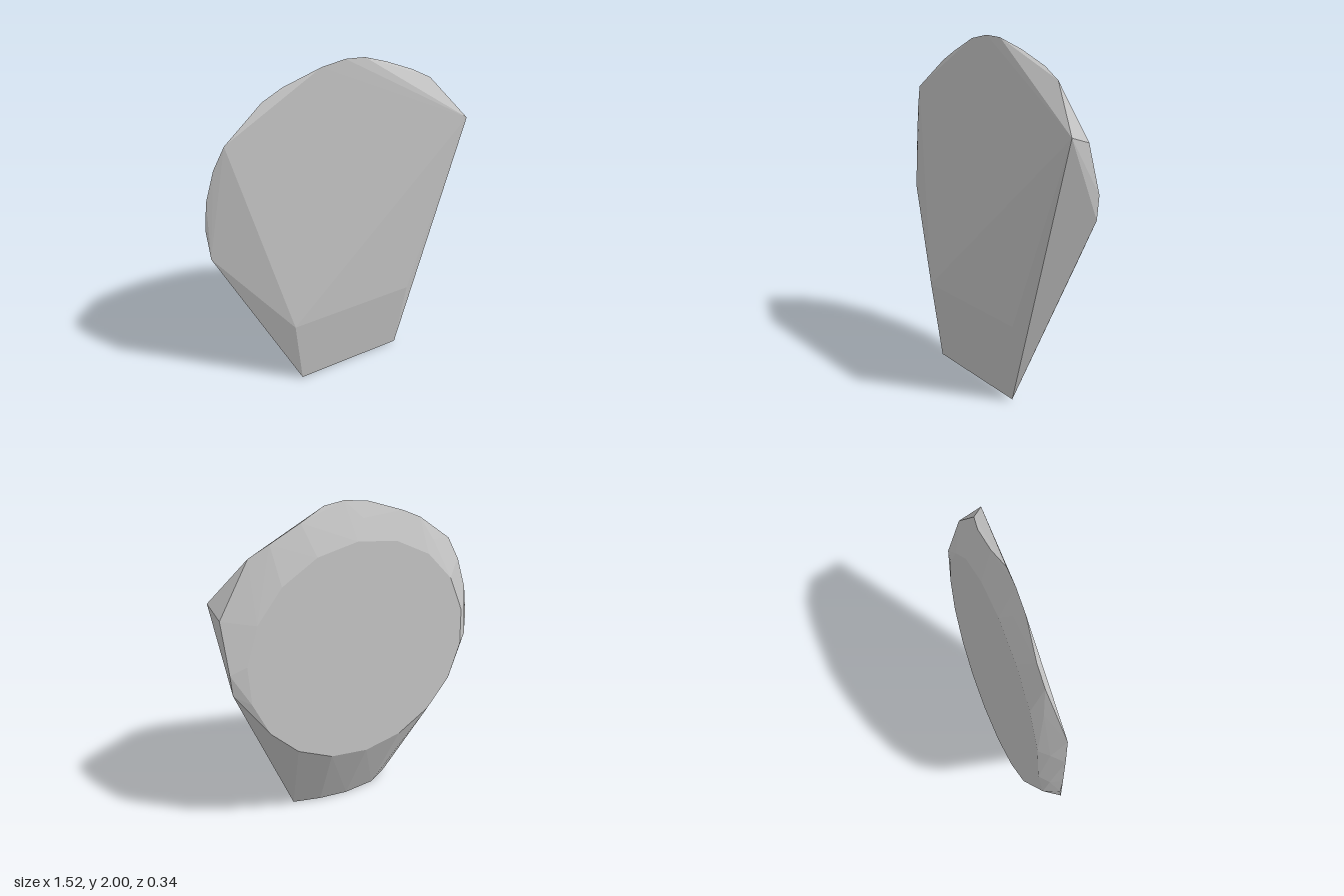
import * as THREE from 'three';
import { ConvexGeometry } from 'three/addons/geometries/ConvexGeometry.js';

// Slanted plane of the flat back face
const backZ = (y) => -0.172 + (y - 0.53) * 0.091;

// Points of an oval lying parallel to the back face, for angles a0..a1
function oval(count, rx, ry, lift, a0, a1) {
  const points = [];
  for (let i = 0; i < count; i++) {
    const a = a0 + ((a1 - a0) * i) / count;
    const y = 1.17 + ry * Math.sin(a);
    points.push(new THREE.Vector3(rx * Math.cos(a), y, backZ(y) + lift));
  }
  return points;
}

export function createModel() {
  const group = new THREE.Group();
  group.name = 'facetedStone';
  const stone = new THREE.MeshStandardMaterial({ color: 0xc2c2c2, flatShading: true });
  stone.name = 'stone grey';

  // Corners of the front face and the narrow foot
  const front = [
    [-0.31, 0.01, 0.13], [0.37, 0.01, 0.13], [-0.36, 0.49, 0.17], [0.41, 0.49, 0.17],
    [0.76, 1.56, 0.13], [0.2, 0.01, 0.08], [0.02, 0, 0.06], [-0.18, 0, 0.07],
  ];
  // Rounded outer rim, from the left side over the top to the right side
  const rim = [
    [0.745, 1.12, -0.085], [0.75, 1.25, -0.09], [0.745, 1.52, -0.005], [0.56, 1.8, 0.028],
    [0.45, 1.86, 0.01], [0.28, 1.935, 0.015], [0.14, 1.99, 0.04], [0.03, 2, 0.04],
    [-0.1, 1.98, 0.035], [-0.3, 1.905, 0.008], [-0.41, 1.85, 0.006], [-0.63, 1.68, 0.035],
    [-0.69, 1.55, 0.01], [-0.74, 1.37, -0.01], [-0.76, 1.2, -0.02], [-0.755, 1.02, 0],
    [-0.71, 1.1, -0.09],
  ];
  const points = [...front, ...rim].map((p) => new THREE.Vector3(...p));
  // Flat oval back and the bevel ring around its upper half
  points.push(...oval(18, 0.67, 0.64, 0, -Math.PI / 2, Math.PI * 1.5));
  points.push(...oval(10, 0.72, 0.74, 0.04, 0, Math.PI * 1.05));

  const body = new THREE.Mesh(new ConvexGeometry(points), stone);
  body.name = 'stoneBody';
  group.add(body);
  return group;
}
